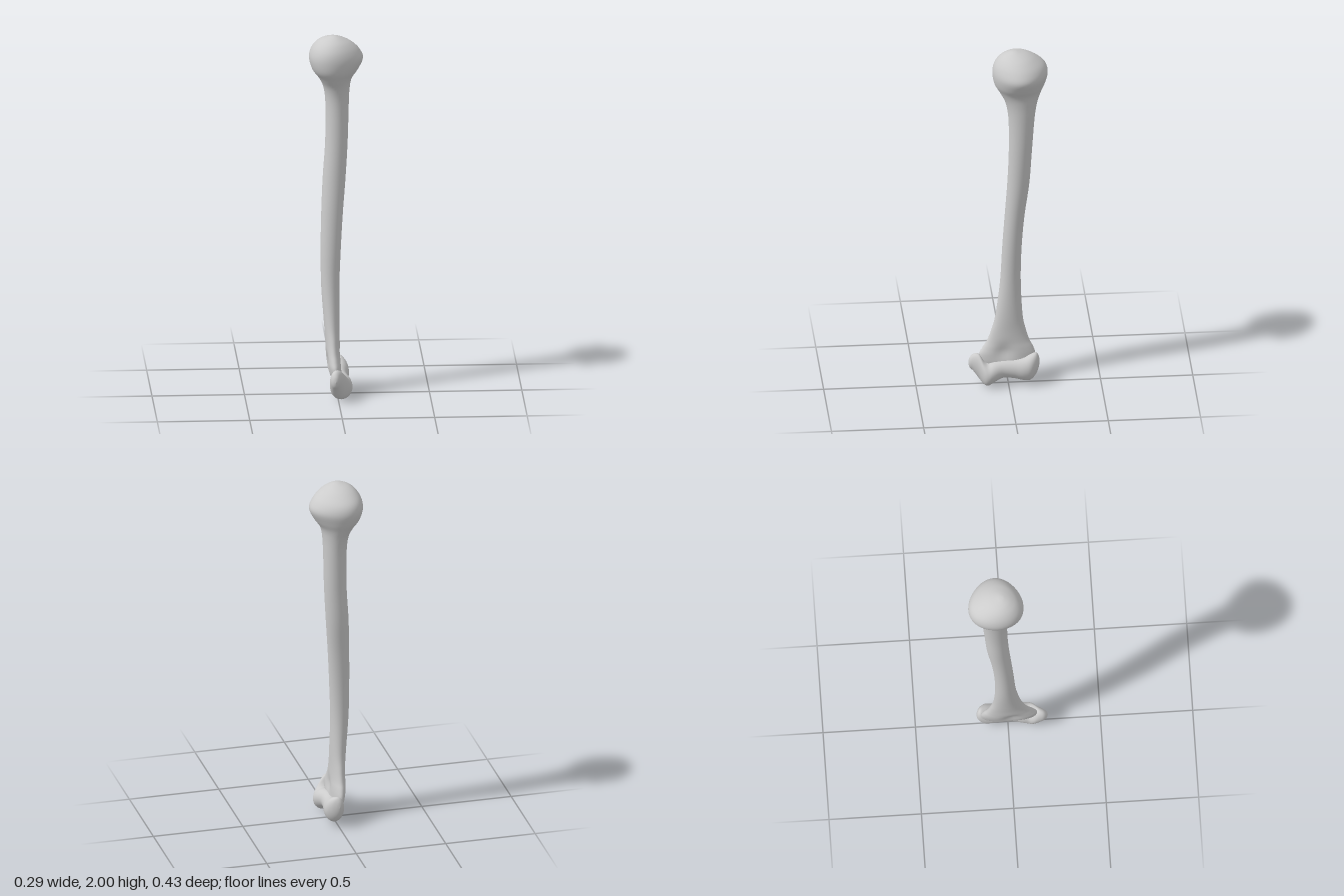
import * as THREE from 'three';

const SIDES = 40;

// Catmull-Rom interpolation of whole rows of numbers
function smoothRows(rows, steps) {
  const out = [];
  const last = rows.length - 1;
  for (let i = 0; i < last; i++) {
    const [a, b, c, d] = [i - 1, i, i + 1, i + 2].map((k) => rows[Math.min(last, Math.max(0, k))]);
    for (let s = 0; s < steps; s++) {
      const t = s / steps;
      out.push(b.map((_, k) => 0.5 * (2 * b[k] + (c[k] - a[k]) * t
        + (2 * a[k] - 5 * b[k] + 4 * c[k] - d[k]) * t * t
        + (3 * b[k] - a[k] - 3 * c[k] + d[k]) * t * t * t)));
    }
  }
  out.push(rows[last]);
  return out;
}

// Closed skin over rings; place(row, angle) returns a point
function loft(rows, steps, place) {
  const rings = smoothRows(rows, steps);
  const pos = [];
  const index = [];
  rings.forEach((row, i) => {
    for (let j = 0; j < SIDES; j++) {
      pos.push(...place(row, (j / SIDES) * Math.PI * 2));
      if (i === rings.length - 1) continue;
      const a = i * SIDES + j;
      const b = i * SIDES + (j + 1) % SIDES;
      index.push(a, a + SIDES, b, b, a + SIDES, b + SIDES);
    }
  });
  const g = new THREE.BufferGeometry();
  g.setAttribute('position', new THREE.Float32BufferAttribute(pos, 3));
  g.setIndex(index);
  g.computeVertexNormals();
  return g;
}

export function createModel() {
  const group = new THREE.Group();
  group.name = 'armBone';
  const material = new THREE.MeshStandardMaterial({ color: 0xcccccc, roughness: 0.8 });
  const add = (name, geometry) => {
    const mesh = new THREE.Mesh(geometry, material);
    mesh.name = name;
    group.add(mesh);
  };

  // Shaft and rounded head: y, x min, x max, z min, z max, pinch towards +x
  const shaft = [
    [0.08, -0.01, 0.01, -0.07, 0.07, 0],
    [0.12, -0.043, 0.025, -0.14, 0.145, 0],
    [0.17, -0.056, 0.026, -0.147, 0.158, 0],
    [0.21, -0.061, 0.023, -0.135, 0.137, 0],
    [0.25, -0.062, 0.018, -0.115, 0.113, 0],
    [0.31, -0.063, 0.015, -0.097, 0.09, 0],
    [0.4, -0.07, 0.015, -0.08, 0.067, 0],
    [0.6, -0.084, 0.014, -0.071, 0.041, 0],
    [0.8, -0.087, 0.022, -0.075, 0.03, 0],
    [1.0, -0.083, 0.034, -0.09, 0.017, 0],
    [1.2, -0.074, 0.05, -0.115, 0.004, 0],
    [1.4, -0.06, 0.062, -0.128, -0.003, 0],
    [1.6, -0.058, 0.068, -0.142, -0.001, 0],
    [1.7, -0.068, 0.073, -0.157, 0.015, 0.03],
    [1.76, -0.094, 0.085, -0.178, 0.045, 0.08],
    [1.81, -0.13, 0.118, -0.2, 0.073, 0.14],
    [1.87, -0.147, 0.145, -0.214, 0.081, 0.18],
    [1.92, -0.138, 0.124, -0.2, 0.073, 0.16],
    [1.96, -0.112, 0.083, -0.155, 0.048, 0.1],
    [1.985, -0.078, 0.038, -0.108, 0.015, 0],
    [1.998, -0.036, 0.003, -0.058, -0.018, 0],
    [2.0, -0.017, -0.017, -0.038, -0.038, 0],
  ];
  add('shaftAndHead', loft(shaft, 5, ([y, x0, x1, z0, z1, pinch], t) => {
    const z = (z0 + z1) / 2 + (z1 - z0) / 2 * Math.sin(t) * (1 - pinch * Math.cos(t));
    // hollows on both faces just above the joint
    const hollow = 1 - 0.4 * Math.exp(-(((y - 0.19) / 0.05) ** 2) - ((z - 0.025) / 0.05) ** 2);
    return [(x0 + x1) / 2 + (x1 - x0) / 2 * Math.cos(t) * hollow, y, z];
  }));

  // Elbow joint, lofted along z: z, centre x, centre y, radius x, radius y
  const joint = [
    [0.215, -0.017, 0.122, 0, 0],
    [0.208, -0.017, 0.122, 0.016, 0.028],
    [0.188, -0.016, 0.122, 0.029, 0.05],
    [0.158, -0.006, 0.104, 0.041, 0.072],
    [0.132, 0.012, 0.074, 0.056, 0.068],
    [0.11, 0.02, 0.066, 0.058, 0.063],
    [0.08, 0.019, 0.078, 0.055, 0.058],
    [0.03, 0.014, 0.092, 0.045, 0.05],
    [-0.03, 0.016, 0.092, 0.045, 0.054],
    [-0.08, 0.02, 0.091, 0.05, 0.064],
    [-0.12, 0.018, 0.1, 0.05, 0.073],
    [-0.15, 0.01, 0.118, 0.036, 0.062],
    [-0.165, 0.004, 0.125, 0.018, 0.034],
    [-0.17, 0.002, 0.127, 0, 0],
  ];
  add('elbowJoint', loft(joint, 5, ([z, cx, cy, rx, ry], t) =>
    [cx + rx * Math.cos(t), cy + ry * Math.sin(t), z]));

  return group;
}
